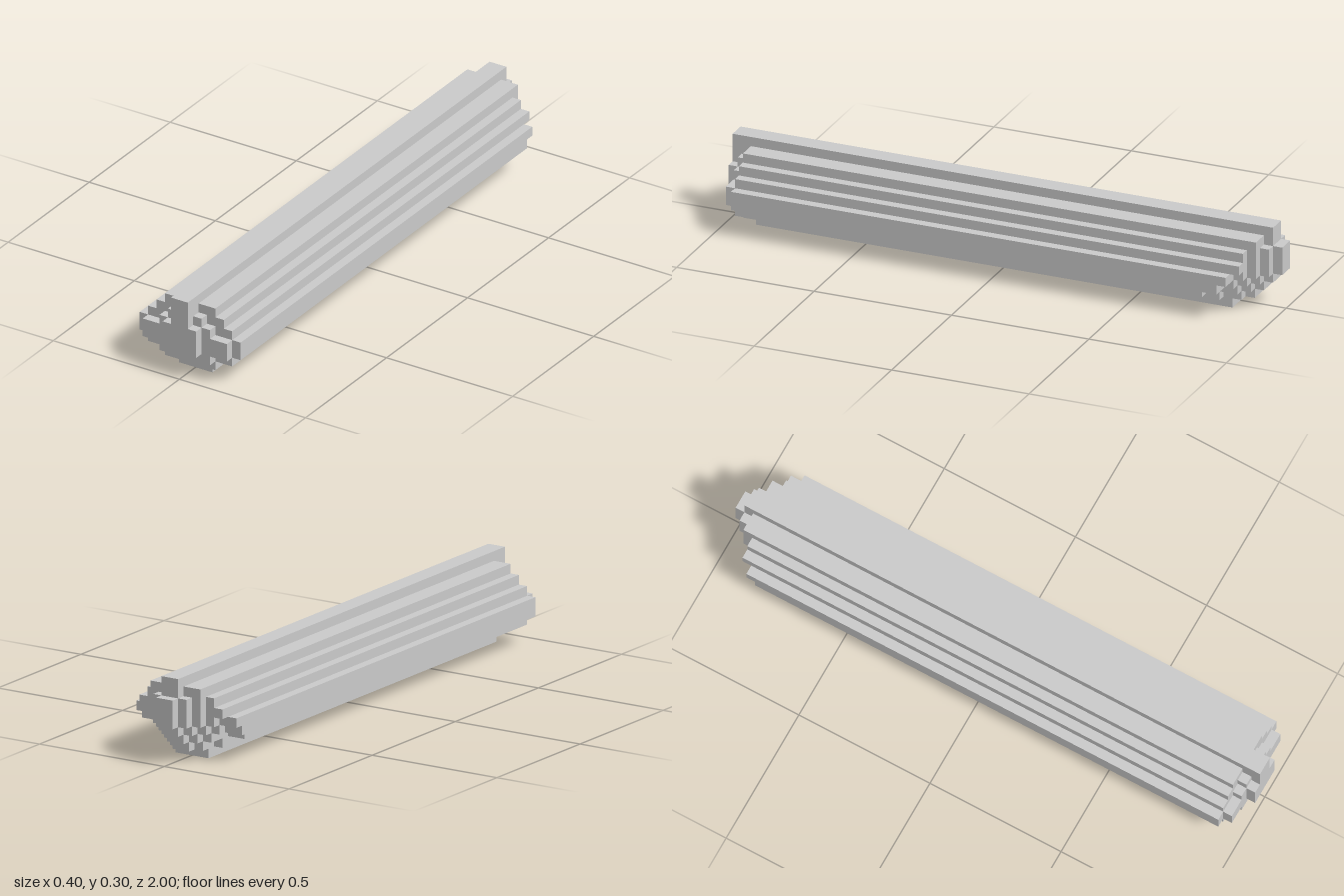
import * as THREE from 'three';

const U = 1 / 30; // size of one block

// Each layer, bottom to top: reach of the front and back ends, in blocks,
// for each column counted outward from the centre line.
const LAYERS = [
  { name: 'bottomLayer', front: [27, 27], back: [25, 25] },
  { name: 'lowerLayer', front: [28, 28, 28], back: [27, 26, 24] },
  { name: 'lowerFlankLayer', front: [29, 29, 29, 28, 28], back: [28, 27, 26, 23, 23] },
  { name: 'lowerWideLayer', front: [30, 30, 29, 29, 29, 28], back: [29, 28, 27, 26, 25, 25] },
  { name: 'upperWideLayer', front: [30, 30, 29, 29, 29, 28], back: [30, 29, 28, 27, 26, 26] },
  { name: 'upperFlankLayer', front: [30, 30, 29, 28, 28], back: [30, 29, 28, 27, 27] },
  { name: 'shoulderLayer', front: [30, 29, 28, 28], back: [30, 29, 28, 27] },
  { name: 'upperLayer', front: [30, 28, 28], back: [29, 28, 28] },
  { name: 'topRidge', front: [30], back: [29] },
];

// Staircase from the centre line out to the side; sign gives the end.
function stairs(reach, sign) {
  const points = [];
  reach.forEach((r, i) => {
    if (i > 0 && r !== reach[i - 1]) {
      points.push([i, sign * reach[i - 1]], [i, sign * r]);
    }
  });
  points.push([reach.length, sign * reach[reach.length - 1]]);
  return points;
}

// Stepped plan outline, mirrored across the centre line
function planShape({ front, back }) {
  const half = [...stairs(back, 1), ...stairs(front, -1).reverse()].reverse();
  const mirrored = half.map(([x, y]) => [-x, y]).reverse();
  return new THREE.Shape(
    [...half, ...mirrored].map(([x, y]) => new THREE.Vector2(x * U, y * U))
  );
}

export function createModel() {
  const model = new THREE.Group();
  model.name = 'steppedBar';
  const material = new THREE.MeshStandardMaterial({ color: 0xcccccc, flatShading: true });

  // Stack the layers, each one block high
  LAYERS.forEach((layer, i) => {
    const geometry = new THREE.ExtrudeGeometry(planShape(layer), { depth: U, bevelEnabled: false });
    geometry.rotateX(-Math.PI / 2);
    const mesh = new THREE.Mesh(geometry, material);
    mesh.name = layer.name;
    mesh.position.y = i * U;
    model.add(mesh);
  });
  return model;
}
